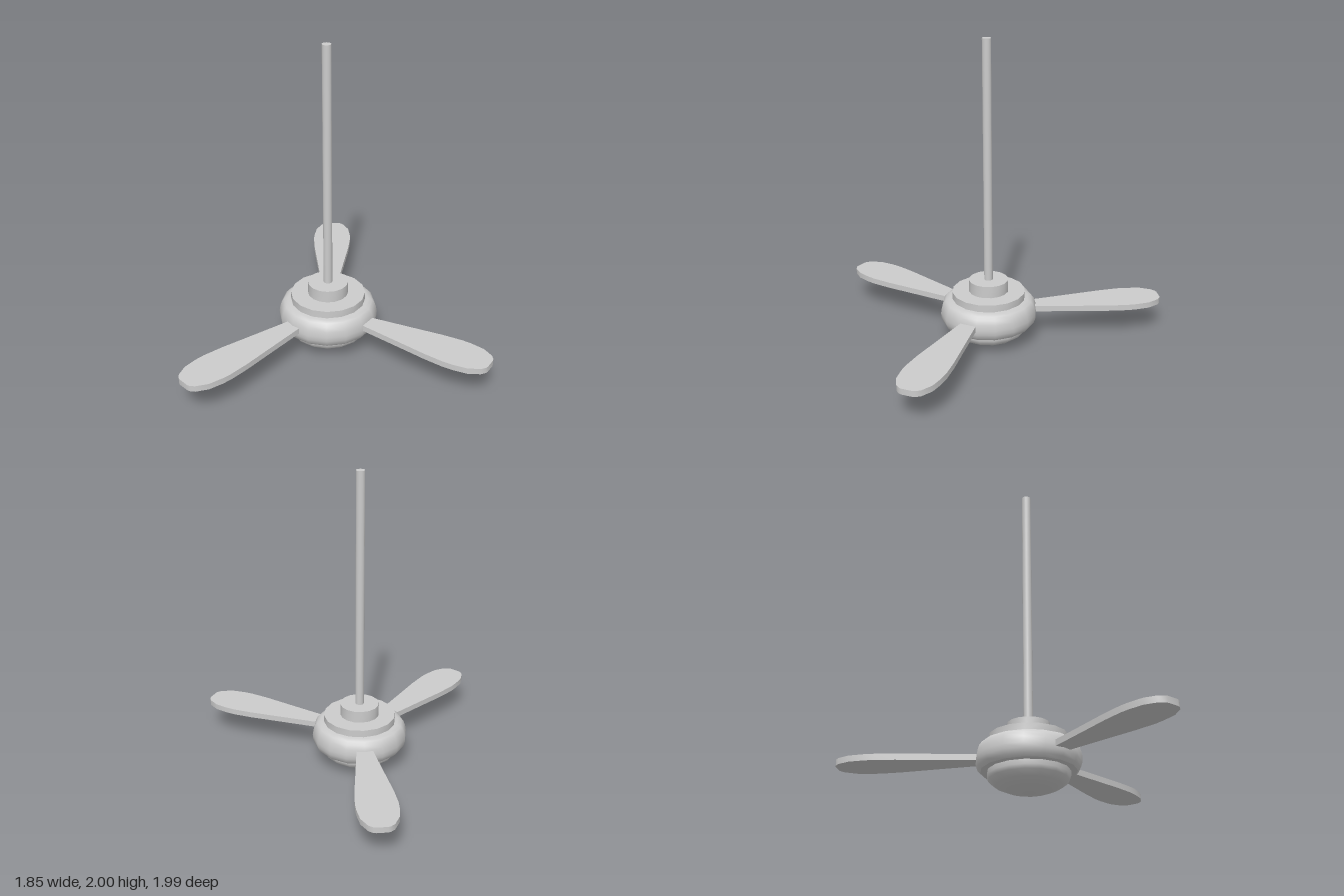
import * as THREE from 'three';
import { toCreasedNormals } from 'three/addons/utils/BufferGeometryUtils.js';

const SIDES = 16;
const material = new THREE.MeshStandardMaterial({ color: 0xcccccc });

function part(name, geometry, crease = 0.7) {
  const mesh = new THREE.Mesh(toCreasedNormals(geometry, crease), material);
  mesh.name = name;
  return mesh;
}

// Profile of [radius, height] pairs, bottom to top
function turned(name, profile) {
  const points = profile.map(([r, y]) => new THREE.Vector2(r, y));
  return part(name, new THREE.LatheGeometry(points, SIDES));
}

function disc(name, radius, bottom, top) {
  const geometry = new THREE.CylinderGeometry(radius, radius, top - bottom, SIDES);
  geometry.translate(0, (bottom + top) / 2, 0);
  return part(name, geometry);
}

// Flat paddle lying along +x, outlined by [distance, half width] pairs
function bladeGeometry() {
  const edge = [[0.25, 0.048], [0.31, 0.055], [0.6, 0.095], [0.77, 0.119], [0.9, 0.13],
    [0.96, 0.128], [1.05, 0.115], [1.12, 0.078], [1.14, 0.052], [1.145, 0.035]];
  const outline = [
    ...edge.map(([r, w]) => new THREE.Vector2(r, -w)),
    ...edge.slice().reverse().map(([r, w]) => new THREE.Vector2(r, w)),
  ];
  const geometry = new THREE.ExtrudeGeometry(new THREE.Shape(outline), { depth: 0.038, bevelEnabled: false });
  geometry.rotateX(-Math.PI / 2);
  geometry.translate(0, 0.194, 0);
  return geometry;
}

export function createModel() {
  const fan = new THREE.Group();
  fan.name = 'ceilingFan';

  // Hanging rod and stepped mount
  fan.add(disc('rod', 0.028, 0.42, 2));
  fan.add(disc('collar', 0.128, 0.34, 0.425));
  fan.add(disc('topPlate', 0.237, 0.295, 0.347));

  // Rounded motor housing
  fan.add(turned('motorHousing', [
    [0, 0.128], [0.285, 0.128], [0.302, 0.146], [0.312, 0.175], [0.314, 0.205],
    [0.308, 0.24], [0.298, 0.27], [0.282, 0.29], [0.257, 0.3], [0, 0.3],
  ]));

  // Shallow bowl below the motor
  fan.add(turned('lowerBowl', [
    [0, 0], [0.07, 0.004], [0.14, 0.021], [0.2, 0.047], [0.238, 0.076], [0.246, 0.1], [0.246, 0.135], [0, 0.135],
  ]));

  // Three blades: [angle in degrees, sideways shift]
  [[90, 0], [-30.5, 0.016], [-135, 0]].forEach(([angle, shift], i) => {
    const blade = part(`blade${i + 1}`, bladeGeometry());
    blade.position.z = shift;
    const pivot = new THREE.Group();
    pivot.name = `bladePivot${i + 1}`;
    pivot.rotation.y = THREE.MathUtils.degToRad(angle);
    pivot.add(blade);
    fan.add(pivot);
  });

  // The hub sits off-centre because the blades are unevenly spread
  fan.position.set(-0.08, 0, 0.145);
  const model = new THREE.Group();
  model.name = 'model';
  model.add(fan);
  return model;
}
